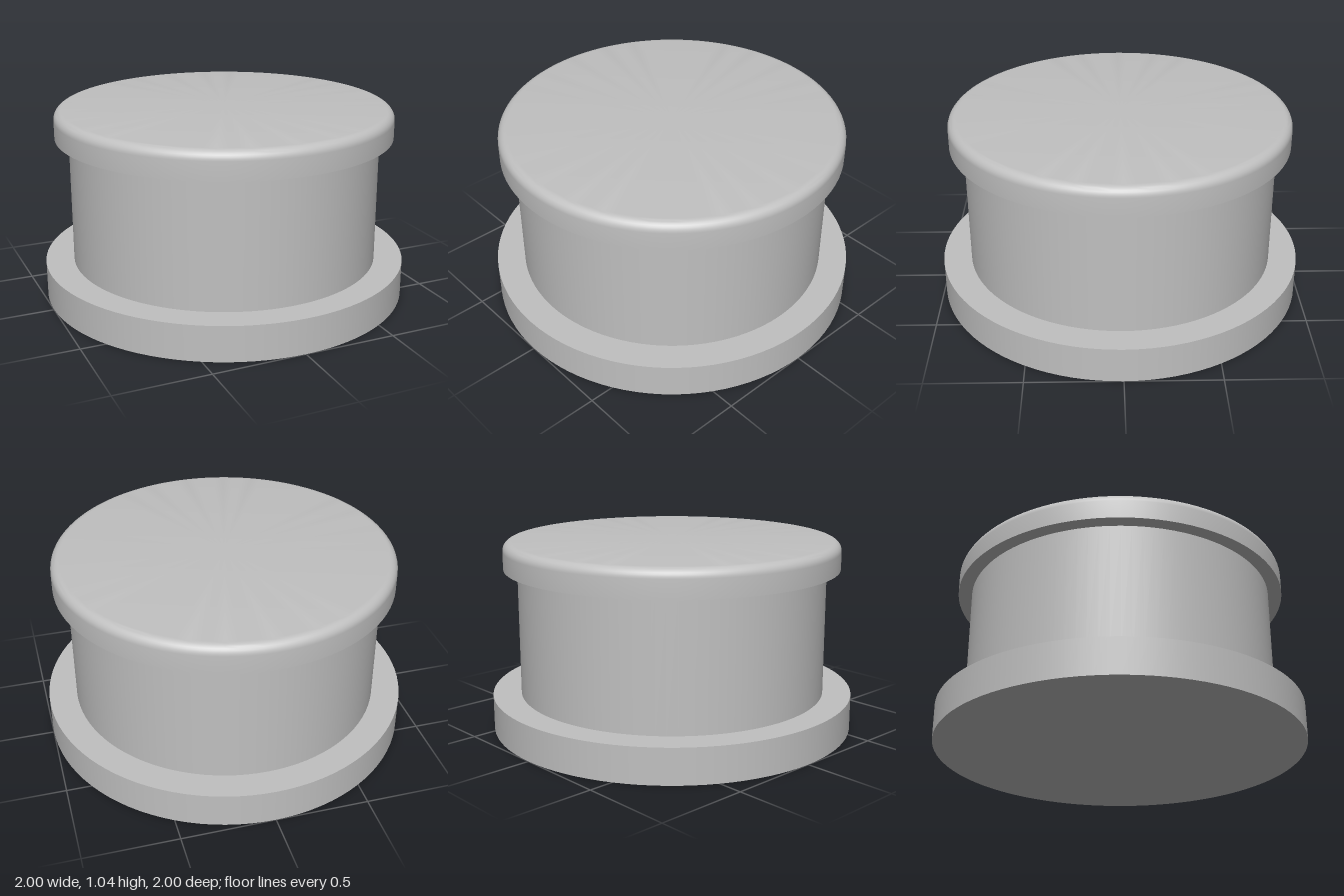
import * as THREE from 'three';
import { toCreasedNormals } from 'three/addons/utils/BufferGeometryUtils.js';

const SEGMENTS = 96;

export function createModel() {
  const group = new THREE.Group();
  const grey = new THREE.MeshStandardMaterial({ color: 0xc0c0c0 });
  grey.name = 'plain grey';

  const add = (name, geometry) => {
    const mesh = new THREE.Mesh(geometry, grey);
    mesh.name = name;
    group.add(mesh);
  };
  const disc = (radius, bottom, top, open = false) =>
    new THREE.CylinderGeometry(radius, radius, top - bottom, SEGMENTS, 1, open)
      .translate(0, (bottom + top) / 2, 0);

  // Wide base flange and narrower drum
  add('baseFlange', disc(1, 0, 0.193));
  add('drum', disc(0.845, 0.193, 0.888, true));

  // Overhanging cap with a rounded upper rim
  const radius = 0.92, bottom = 0.888, top = 1.038, fillet = 0.05;
  const profile = [new THREE.Vector2(0, bottom), new THREE.Vector2(radius, bottom)];
  for (let i = 0; i <= 8; i++) {
    const a = (i / 8) * Math.PI / 2;
    profile.push(new THREE.Vector2(
      radius - fillet + fillet * Math.cos(a),
      top - fillet + fillet * Math.sin(a)));
  }
  profile.push(new THREE.Vector2(0, top));
  add('cap', toCreasedNormals(new THREE.LatheGeometry(profile, SEGMENTS), 0.5));

  return group;
}
